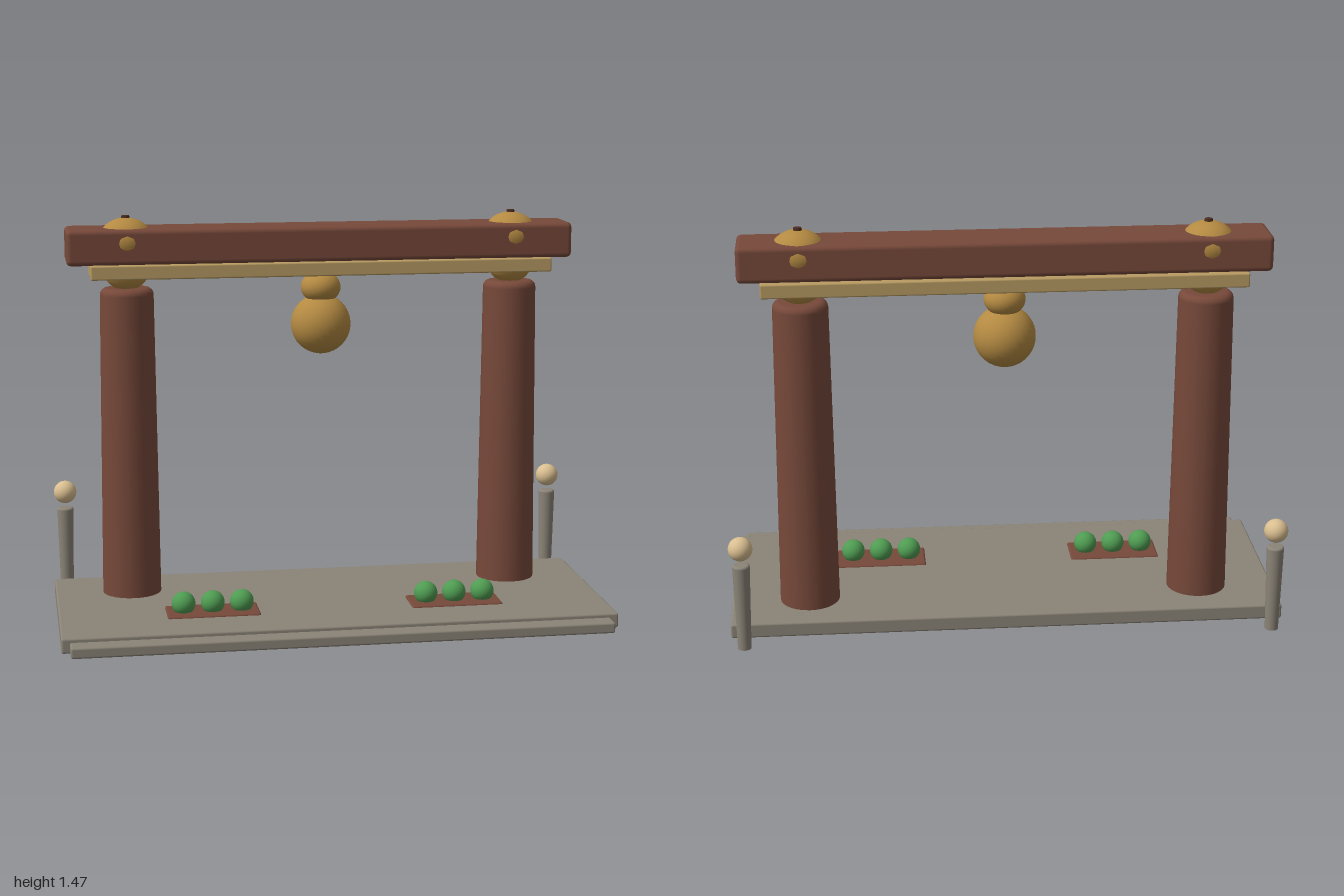
import * as THREE from 'three';
import { RoundedBoxGeometry } from 'three/addons/geometries/RoundedBoxGeometry.js';

const paint = (color) => new THREE.MeshStandardMaterial({ color });
const wood = paint(0x77493a), stone = paint(0x8b8477), gold = paint(0xb48a42);
const pale = paint(0xb89b62), cream = paint(0xd9be90), green = paint(0x4f9c52), dark = paint(0x4a2c20);

export function createModel() {
  const model = new THREE.Group();
  const gateZ = -0.165;

  const add = (name, geometry, material, x, y, z) => {
    const mesh = new THREE.Mesh(geometry, material);
    mesh.name = name;
    mesh.position.set(x, y, z);
    model.add(mesh);
    return mesh;
  };
  // Softly rounded block given by its limits on each axis
  const block = (name, material, [x0, x1], [y0, y1], [z0, z1], r) =>
    add(name, new RoundedBoxGeometry(x1 - x0, y1 - y0, z1 - z0, 2, r), material,
      (x0 + x1) / 2, (y0 + y1) / 2, (z0 + z1) / 2);
  // Ball, optionally squashed in height
  const ball = (name, material, x, y, z, r, ry = r) => {
    const mesh = add(name, new THREE.SphereGeometry(r, 28, 20), material, x, y, z);
    mesh.scale.y = ry / r;
    return mesh;
  };
  // Round tapered column with a softened top edge
  const column = (name, material, x, z, y0, y1, r0, r1, edge) => {
    const points = [new THREE.Vector2(0, y0), new THREE.Vector2(r0, y0), new THREE.Vector2(r0, y0)];
    for (let i = 0; i <= 4; i++) {
      const a = (i / 4) * Math.PI / 2;
      points.push(new THREE.Vector2(r1 - edge + edge * Math.cos(a), y1 - edge + edge * Math.sin(a)));
    }
    points.push(new THREE.Vector2(0, y1));
    return add(name, new THREE.LatheGeometry(points, 28), material, x, 0, z);
  };

  // Stone platform and front step
  block('platform', stone, [-1, 1], [0.01, 0.065], [-0.37, 0.41], 0.008);
  block('frontStep', stone, [-0.97, 0.97], [0.01, 0.05], [0.35, 0.475], 0.008);

  // Pale panel showing on the underside
  const panel = new THREE.Shape([[0.41, -0.18], [0.44, 0.25], [-0.5, 0.26], [-0.51, 0.05]]
    .map(([x, z]) => new THREE.Vector2(x, z)));
  add('undersidePanel', new THREE.ShapeGeometry(panel).rotateX(Math.PI / 2),
    new THREE.MeshStandardMaterial({ color: 0xb89b62, side: THREE.DoubleSide }), 0, 0.007, 0);

  // Lintel and the board under it
  block('lintel', wood, [-0.935, 0.93], [1.3, 1.43], [-0.26, -0.07], 0.018);
  block('lintelBoard', pale, [-0.85, 0.85], [1.25, 1.302], [-0.275, -0.055], 0.006);

  // Hanging gourd
  ball('gourdNeck', gold, 0, 1.197, gateZ, 0.074, 0.06);
  ball('gourdBody', gold, 0, 1.06, gateZ, 0.111);

  for (const side of [-1, 1]) {
    // Pillar with its gold joint
    const x = side * 0.716;
    column('pillar', wood, x, gateZ, 0.005, 1.21, 0.109, 0.098, 0.025);
    ball('jointLower', gold, x, 1.27, gateZ, 0.082, 0.07);
    ball('jointUpper', gold, x, 1.38, gateZ, 0.1, 0.085);
    add('jointPin', new THREE.CylinderGeometry(0.014, 0.018, 0.02, 8), dark, x, 1.463, gateZ);

    // Rear post with a ball lamp
    column('rearPost', stone, side * 0.95, -0.433, 0.005, 0.33, 0.024, 0.031, 0.008);
    ball('postLamp', cream, side * 0.95, 0.39, -0.433, 0.043);

    // Planter tray with three round shrubs
    const cx = side * 0.446;
    block('planter', wood, [cx - 0.168, cx + 0.168], [0.005, 0.072], [0.08, 0.232], 0.008);
    for (const i of [-1, 0, 1]) ball('shrub', green, cx + i * 0.106, 0.1, 0.157, 0.043);
  }
  return model;
}
